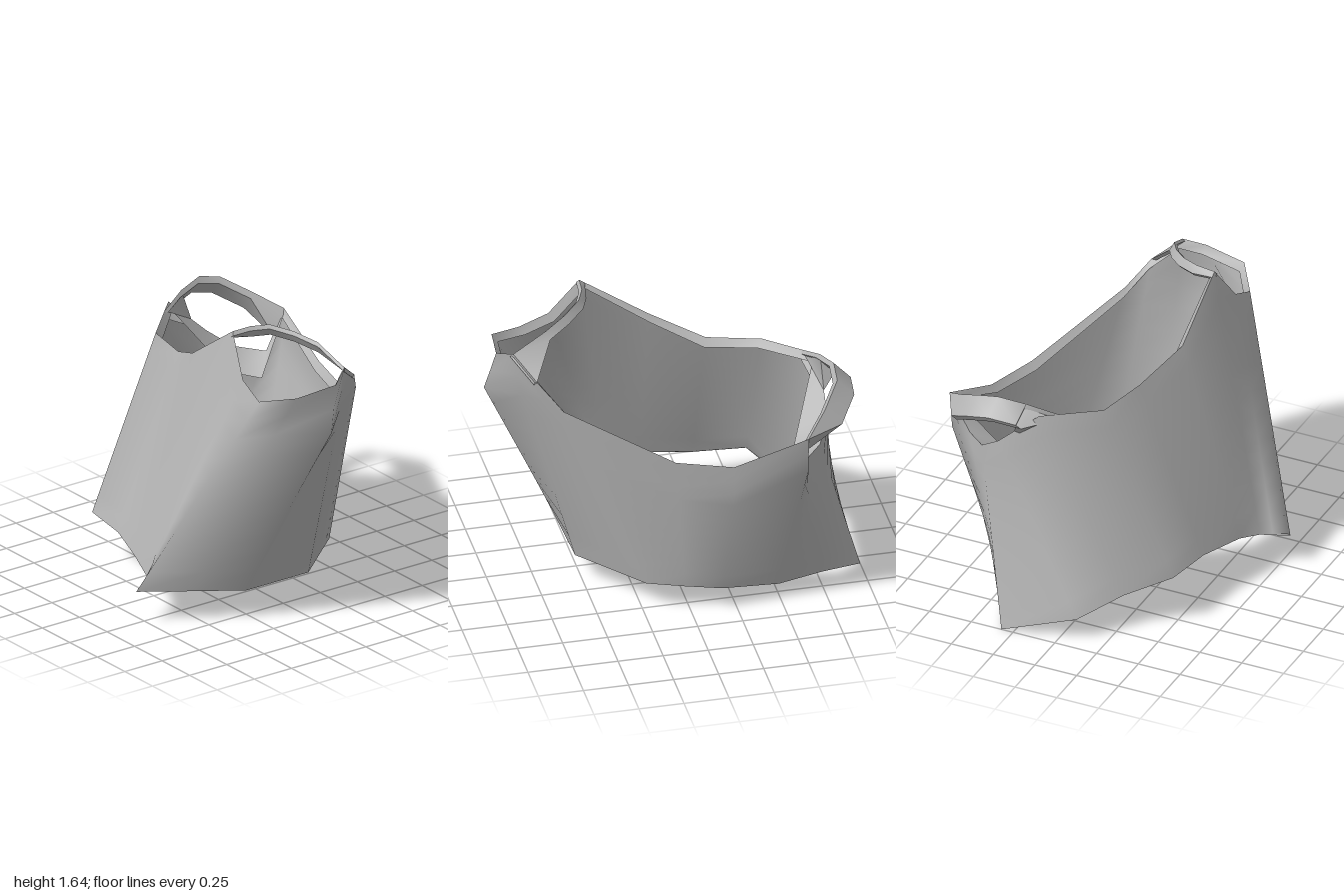
import * as THREE from 'three';
import { toCreasedNormals } from 'three/addons/utils/BufferGeometryUtils.js';

// Skin rows of points, each row joined end to start
function skin(rows) {
  const n = rows[0].length, idx = [];
  for (let j = 0; j < rows.length - 1; j++) {
    for (let i = 0; i < n; i++) {
      const a = j * n + i, b = j * n + (i + 1) % n;
      idx.push(a, b, b + n, a, b + n, a + n);
    }
  }
  const g = new THREE.BufferGeometry().setFromPoints(rows.flat());
  g.setIndex(idx);
  g.computeVertexNormals();
  return g;
}

// Cloth columns from the front-left fold round the back:
// hem x, y, z, top edge x, y, z, outward bulge at chest height
const columns = [
  [0.26, 0.19, 0.81, 0.74, 1.35, 0.34, 0],
  [0.42, 0.18, 0.54, 0.92, 1.4, 0.22, -0.03],
  [0.56, 0.17, 0.29, 0.95, 1.43, -0.02, 0.13],
  [0.54, 0.16, -0.14, 0.88, 1.48, -0.13, 0.02],
  [0.38, 0.16, -0.33, 0.78, 1.37, -0.27, 0],
  [0.23, 0.16, -0.51, 0.66, 1.23, -0.37, 0],
  [0.03, 0.15, -0.57, 0.1, 1, -0.66, 0],
  [-0.17, 0.14, -0.62, -0.2, 0.99, -0.76, 0.03],
  [-0.49, 0.1, -0.58, -0.6, 1.15, -0.82, 0.04],
  [-0.76, 0.06, -0.45, -0.6, 0.93, -0.7, 0],
  [-1, 0, -0.32, -0.72, 0.95, -0.57, 0],
  [-0.94, 0.14, 0.1, -0.79, 1.05, -0.44, 0],
  [-0.72, 0.22, 0.28, -0.8, 1.28, -0.19, 0],
  [-0.56, 0.3, 0.5, -0.55, 1.25, 0.08, 0],
  [-0.27, 0.29, 0.54, -0.25, 1.26, 0.15, 0],
  [0, 0.27, 0.63, 0.04, 1.38, 0.27, 0],
  [0.17, 0.21, 0.67, 0.42, 1.64, 0.28, 0],
  [0.21, 0.2, 0.73, 0.58, 1.42, 0.33, 0],
];

// Row of the body at height fraction s; the bulge peaks at 0.8
function bodyRow(s) {
  const weight = Math.min(s / 0.8, (1 - s) / 0.2);
  return columns.map((c) => {
    const p = new THREE.Vector3(...c.slice(0, 3)).lerp(new THREE.Vector3(...c.slice(3, 6)), s);
    return p.add(new THREE.Vector3(p.x, 0, p.z).setLength(c[6] * weight));
  });
}

// Folded shoulder strap: a thin closed band between two [neck, arm] edges of the body
function strapGeometry(start, neckPoints, toArm, end, thickness) {
  const arm = new THREE.Vector3(...toArm), inner = new THREE.Vector3(...thickness);
  const middle = neckPoints.map((p) => {
    const neck = new THREE.Vector3(...p);
    return [neck, neck.clone().add(arm)];
  });
  const sections = [start, ...middle, end].map(([n, a]) => [
    n, a, a.clone().add(inner), n.clone().add(inner),
  ]);
  return toCreasedNormals(skin(sections), 0.9);
}

export function createModel() {
  const cloth = new THREE.MeshStandardMaterial({ color: 0xb4b4b4, side: THREE.DoubleSide });
  cloth.name = 'grey cloth';
  const group = new THREE.Group();
  group.name = 'tankTop';
  const add = (name, geometry) => {
    const mesh = new THREE.Mesh(geometry, cloth);
    mesh.name = name;
    group.add(mesh);
  };

  // Body from hem to neck and armhole edges
  const STEPS = 10;
  const rows = Array.from({ length: STEPS + 1 }, (_, j) => bodyRow(j / STEPS));
  const hem = rows[0], top = rows[STEPS];
  add('body', skin(rows));

  // Turned-in lip along the top edges, wider under the right arm
  const lip = top.map((p, i) => {
    const width = i >= 9 && i <= 11 ? 0.16 : 0.035;
    const inward = new THREE.Vector3(-0.1 - p.x, 0, -0.2 - p.z).setLength(width);
    return p.clone().add(inward).setY(p.y - 0.03 - width * 0.4);
  });
  add('topLip', skin([top, lip]));

  // Narrow turned-in lip along the hem
  const hemLip = hem.map((p) => new THREE.Vector3(p.x * 0.98, p.y + 0.012, p.z * 0.98));
  add('hemLip', skin([hemLip, hem]));

  // Straps join the front neck corners to the back neck corners
  add('leftStrap', strapGeometry(
    [top[15].clone().lerp(top[16], 0.92), top[16]],
    [[0.41, 1.6, 0.15], [0.45, 1.6, 0.05], [0.55, 1.57, -0.04], [0.67, 1.53, -0.11]],
    [0.02, 0.045, 0.02],
    [top[4], top[3]],
    [0.015, -0.02, 0.01],
  ));
  add('rightStrap', strapGeometry(
    [top[8], top[8].clone().lerp(top[9], 0.5)],
    [[-0.72, 1.24, -0.69], [-0.82, 1.33, -0.55], [-0.83, 1.36, -0.42], [-0.79, 1.33, -0.27]],
    [-0.09, -0.09, -0.02],
    [top[12].clone().lerp(top[13], 0.3), top[12].clone().lerp(top[11], 0.6)],
    [0.02, -0.03, 0.02],
  ));
  return group;
}
